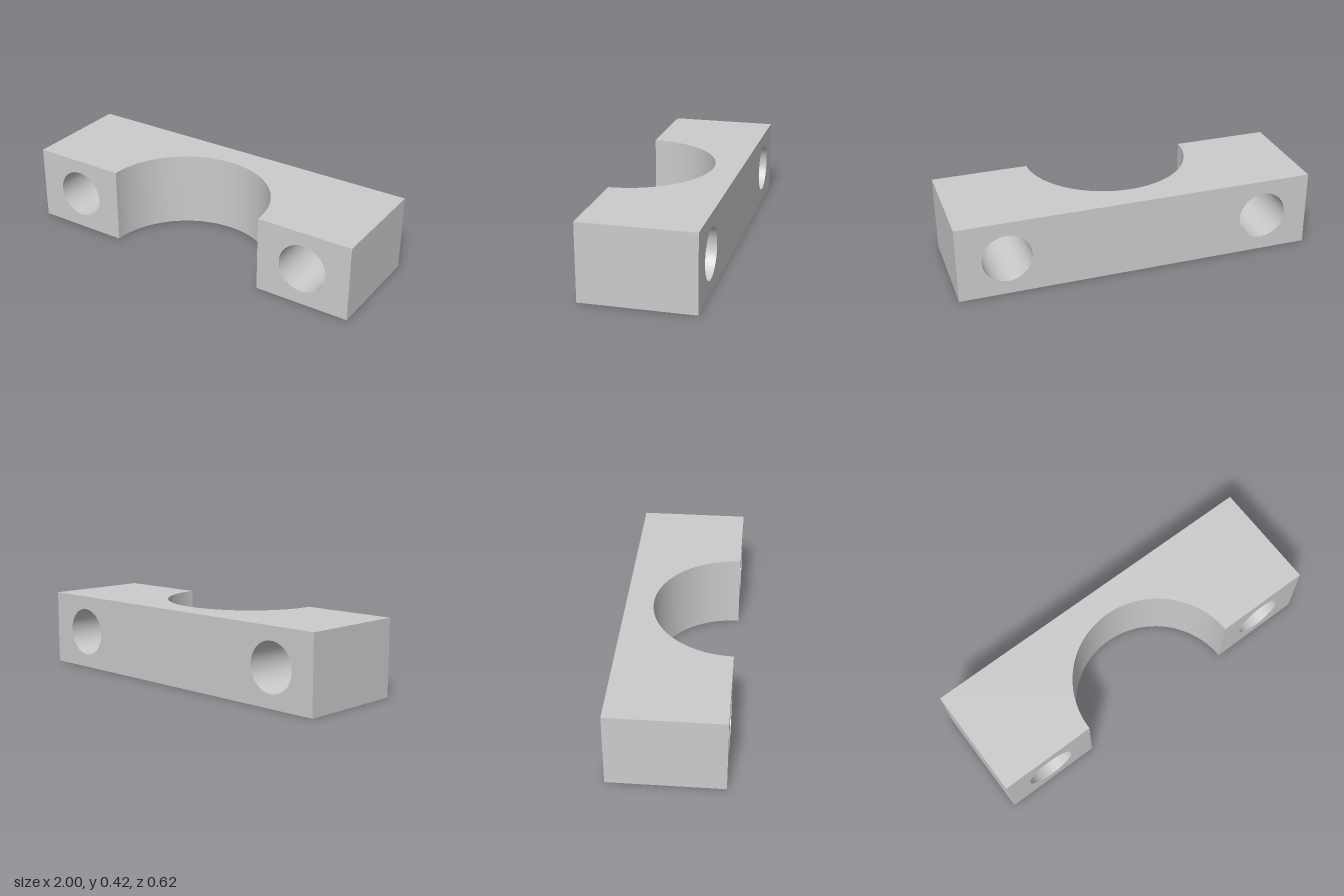
import * as THREE from 'three';

// Half of a two-bolt clamp: a block with a half-round saddle and two through bores
const W = 1, D = 0.308, H = 0.423;   // half width, half depth, height
const SADDLE_R = 0.463;
const BORE_X = 0.73, BORE_R = 0.136;
const SEGMENTS = 64;

const material = new THREE.MeshStandardMaterial({ color: 0xcccccc });

function rectangle(x0, x1, y0, y1) {
  return new THREE.Shape([
    new THREE.Vector2(x0, y0), new THREE.Vector2(x1, y0),
    new THREE.Vector2(x1, y1), new THREE.Vector2(x0, y1),
  ]);
}

function addBoreHole(shape, x) {
  shape.holes.push(new THREE.Path().absarc(x, H / 2, BORE_R, 0, Math.PI * 2, true));
}

// Cylinder wall that faces its own axis (profile runs from top to bottom)
function innerWall(radius, y0, y1, phiStart = 0, phiLength = Math.PI * 2) {
  const profile = [new THREE.Vector2(radius, y1), new THREE.Vector2(radius, y0)];
  return new THREE.LatheGeometry(profile, SEGMENTS, phiStart, phiLength);
}

export function createModel() {
  const model = new THREE.Group();
  model.name = 'clampHalf';
  const add = (name, geometry) => {
    const mesh = new THREE.Mesh(geometry, material);
    mesh.name = name;
    model.add(mesh);
  };

  // Top and bottom faces, cut by the saddle arc (shape y is -z)
  const plan = new THREE.Shape();
  plan.moveTo(-W, -D);
  plan.lineTo(-SADDLE_R, -D);
  plan.absarc(0, -D, SADDLE_R, Math.PI, 0, true);
  plan.lineTo(W, -D);
  plan.lineTo(W, D);
  plan.lineTo(-W, D);
  plan.closePath();
  const planFace = () => new THREE.ShapeGeometry(plan, SEGMENTS / 2);
  add('topFace', planFace().rotateX(-Math.PI / 2).translate(0, H, 0));
  // Turned over about z so that it faces down
  add('bottomFace', planFace().rotateX(-Math.PI / 2).rotateZ(Math.PI));

  // Half-round saddle
  add('saddle', innerWall(SADDLE_R, 0, H, Math.PI / 2, Math.PI).translate(0, 0, D));

  // Back face with both bore openings
  const back = rectangle(-W, W, 0, H);

  for (const side of [-1, 1]) {
    const label = side > 0 ? 'left' : 'right';
    addBoreHole(back, side * BORE_X);

    // Lug front face with its bore opening
    const inner = side * SADDLE_R, outer = side * W;
    const lug = rectangle(Math.min(inner, outer), Math.max(inner, outer), 0, H);
    addBoreHole(lug, side * BORE_X);
    add(label + 'LugFront', new THREE.ShapeGeometry(lug, SEGMENTS).translate(0, 0, D));

    // Bolt bore through the whole depth
    add(label + 'Bore', innerWall(BORE_R, -D, D)
      .rotateX(Math.PI / 2).translate(side * BORE_X, H / 2, 0));

    // End face
    add(label + 'End', new THREE.PlaneGeometry(2 * D, H)
      .rotateY(side * Math.PI / 2).translate(outer, H / 2, 0));
  }

  add('backFace', new THREE.ShapeGeometry(back, SEGMENTS).rotateY(Math.PI).translate(0, 0, -D));
  return model;
}
